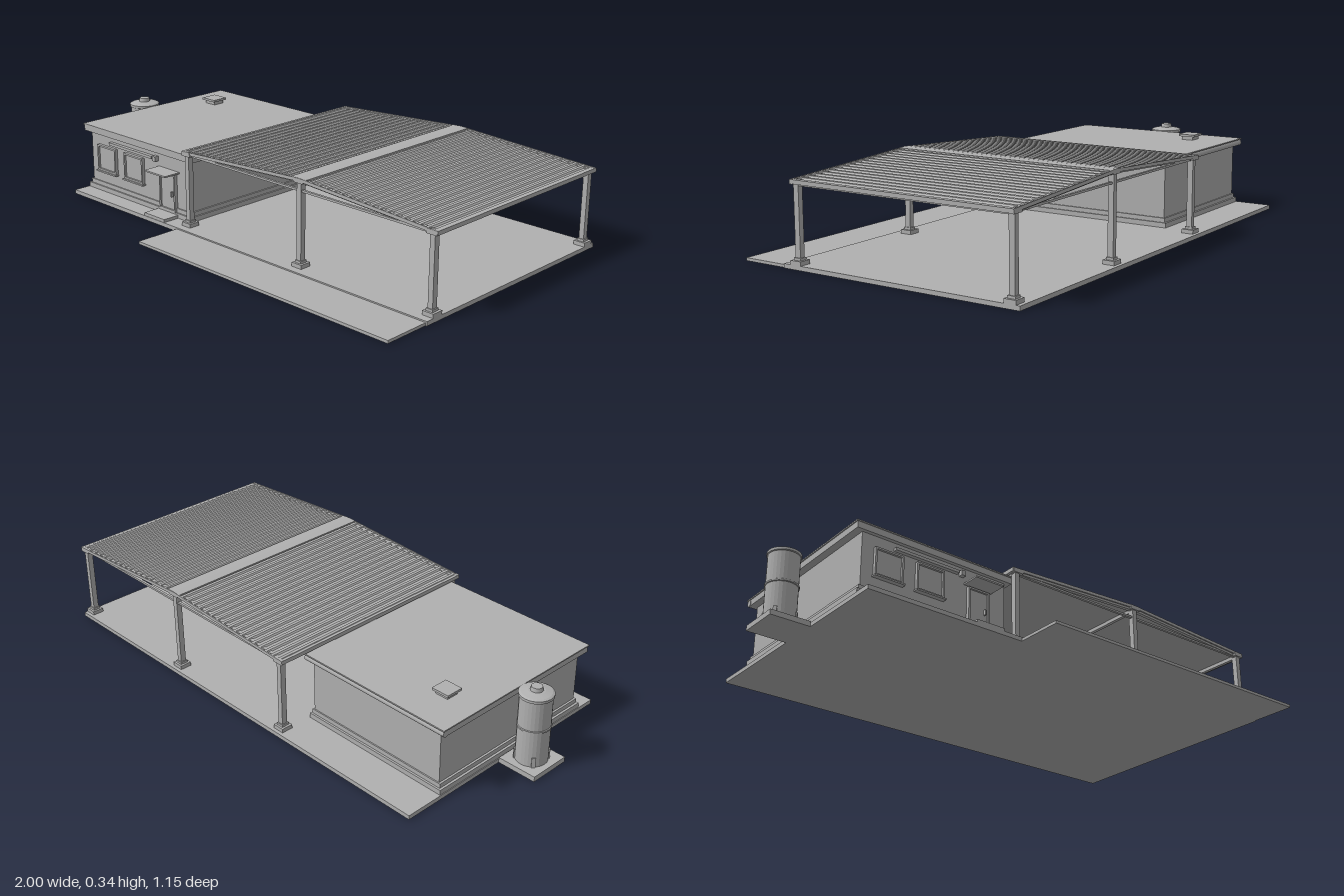
import * as THREE from 'three';

const concrete = new THREE.MeshStandardMaterial({ color: 0xb0b0b0 });
concrete.name = 'light grey';

export function createModel() {
  const root = new THREE.Group();
  root.name = 'stationWithCanopy';

  const add = (geo, name, parent = root) => {
    const m = new THREE.Mesh(geo, concrete);
    m.name = name;
    parent.add(m);
    return m;
  };
  // Box given by its limits on each axis
  const box = (name, x0, x1, y0, y1, z0, z1, parent) => {
    const m = add(new THREE.BoxGeometry(x1 - x0, y1 - y0, z1 - z0), name, parent);
    m.position.set((x0 + x1) / 2, (y0 + y1) / 2, (z0 + z1) / 2);
    return m;
  };
  const group = (name) => {
    const g = new THREE.Group();
    g.name = name;
    root.add(g);
    return g;
  };

  // Ground slabs
  box('mainSlab', -0.845, 0.995, 0, 0.016, -0.575, 0.39);
  box('frontApron', -0.21, 0.99, 0, 0.011, 0.39, 0.573);
  box('tankPad', -1, -0.845, 0, 0.02, -0.13, 0.035);

  // Building
  const house = group('building');
  box('walls', -0.825, -0.222, 0.016, 0.256, -0.412, 0.307, house);
  box('plinthFoot', -0.842, -0.21, 0.016, 0.035, -0.425, 0.318, house);
  box('plinth', -0.833, -0.216, 0.035, 0.052, -0.417, 0.312, house);
  box('roofSlab', -0.853, -0.2, 0.255, 0.279, -0.422, 0.322, house);
  box('roofSheet', -0.857, -0.198, 0.279, 0.284, -0.435, 0.325, house);
  const gutter = add(new THREE.CylinderGeometry(0.013, 0.013, 0.655, 12), 'rearGutter', house);
  gutter.rotation.z = Math.PI / 2;
  gutter.position.set(-0.527, 0.267, -0.423);

  // Roof vent
  box('ventNeck', -0.742, -0.688, 0.284, 0.298, -0.292, -0.243, house);
  box('ventCap', -0.752, -0.68, 0.298, 0.307, -0.302, -0.233, house);

  // Frame of four bars on the front wall
  const frame = (name, x0, x1, y0, y1, t, zFront) => {
    for (const x of [x0, x1 - t]) box(name, x, x + t, y0, y1, 0.307, zFront, house);
    for (const y of [y0, y1 - t]) box(name, x0 + t, x1 - t, y, y + t, 0.307, zFront, house);
  };
  for (const x of [-0.777, -0.608]) {
    frame('windowFrame', x, x + 0.115, 0.104, 0.21, 0.007, 0.32);
    box('windowPane', x + 0.007, x + 0.108, 0.111, 0.203, 0.307, 0.312, house);
    box('windowSill', x - 0.004, x + 0.119, 0.098, 0.104, 0.307, 0.326, house);
  }
  frame('doorFrame', -0.39, -0.298, 0.035, 0.186, 0.007, 0.321);
  box('door', -0.383, -0.305, 0.037, 0.179, 0.307, 0.314, house);
  box('doorHandle', -0.32, -0.315, 0.095, 0.115, 0.314, 0.324, house);
  box('doorAwning', -0.402, -0.283, 0.193, 0.199, 0.307, 0.38, house);
  box('doorStep', -0.402, -0.285, 0.016, 0.028, 0.318, 0.388, house);
  box('fasciaBoard', -0.697, -0.432, 0.223, 0.234, 0.307, 0.322, house);
  box('wallLamp', -0.424, -0.406, 0.218, 0.238, 0.307, 0.325, house);

  // Water tank
  const tank = group('waterTank');
  tank.position.set(-0.92, 0, -0.048);
  const profile = [
    [0, 0.02], [0.058, 0.02], [0.058, 0.155], [0.061, 0.157], [0.061, 0.163], [0.058, 0.165],
    [0.058, 0.275], [0.062, 0.277], [0.062, 0.287], [0.054, 0.291], [0.03, 0.296], [0, 0.297],
  ].map(([x, y]) => new THREE.Vector2(x, y));
  add(new THREE.LatheGeometry(profile, 28).toNonIndexed(), 'tankBody', tank).geometry.computeVertexNormals();
  add(new THREE.CylinderGeometry(0.02, 0.023, 0.016, 12), 'tankLid', tank).position.y = 0.303;
  for (let i = 0; i < 4; i++) {
    const a = Math.PI / 4 + (i * Math.PI) / 2;
    const foot = box('tankFoot', -0.007, 0.007, 0.02, 0.058, -0.004, 0.004, tank);
    foot.position.set(Math.sin(a) * 0.058, 0.039, Math.cos(a) * 0.058);
    foot.rotation.y = a;
  }

  // Canopy supports
  const canopy = group('canopy');
  const mid = 0.39, half = 0.605, eave = 0.303, ridge = 0.337;
  const roofY = (x) => ridge - ((ridge - eave) * Math.abs(x - mid)) / half;
  const columnX = [-0.192, mid, 0.972];
  const columnZ = [-0.538, 0.336];
  for (const x of columnX) {
    for (const z of columnZ) {
      box('column', x - 0.01, x + 0.01, 0.016, roofY(x) - 0.005, z - 0.011, z + 0.011, canopy);
      box('columnFoot', x - 0.023, x + 0.023, 0.016, 0.031, z - 0.023, z + 0.023, canopy);
      box('columnCollar', x - 0.014, x + 0.014, 0.031, 0.04, z - 0.015, z + 0.015, canopy);
      const s = Math.sign(z);
      box('columnCap', x - 0.022, x + 0.022, roofY(x) - 0.012, roofY(x) + 0.005,
        z + s * 0.011 - 0.006, z + s * 0.011 + 0.006, canopy);
    }
    box('crossBeam', x - 0.007, x + 0.007, roofY(x) - 0.018, roofY(x) - 0.004, -0.538, 0.336, canopy);
  }

  // Extrude an outline along z
  const extrude = (pts, z0, z1, name) => {
    const shape = new THREE.Shape(pts.map(([x, y]) => new THREE.Vector2(x, y)));
    const m = add(new THREE.ExtrudeGeometry(shape, { depth: z1 - z0, bevelEnabled: false }), name, canopy);
    m.position.z = z0;
  };
  // Gabled band between two heights relative to the roof line
  const gable = (lo, hi, w, z0, z1, name) => extrude([
    [mid - w, roofY(mid - w) + lo], [mid, ridge + lo], [mid + w, roofY(mid + w) + lo],
    [mid + w, roofY(mid + w) + hi], [mid, ridge + hi], [mid - w, roofY(mid - w) + hi],
  ], z0, z1, name);

  for (const z of columnZ) {
    gable(-0.012, 0.002, half - 0.01, z - 0.007, z + 0.007, 'rafter');
    box('tieBeam', -0.192, 0.972, 0.291, 0.299, z - 0.005, z + 0.005, canopy);
  }

  // Ribbed roof sheet: trapezoid ribs running front to back
  const ribs = 36, pitch = (2 * half) / ribs, top = [], under = [];
  for (let i = 0; i < ribs; i++) {
    const x0 = mid - half + i * pitch;
    for (const [f, h] of [[0, 0], [0.3, 0], [0.45, 0.005], [0.8, 0.005], [0.95, 0]]) {
      const x = x0 + f * pitch;
      top.push([x, roofY(x) + h]);
    }
  }
  top.push([mid + half, eave]);
  for (const x of [mid - half, mid, mid + half]) under.push([x, roofY(x) - 0.003]);
  extrude([...under, ...top.reverse()], -0.553, 0.35, 'ribbedRoof');
  gable(0, 0.0065, 0.035, -0.554, 0.351, 'ridgeCap');

  // Edge trims around the roof
  for (const z of [-0.555, 0.347]) gable(-0.006, 0.006, half, z, z + 0.005, 'gableTrim');
  for (const s of [-1, 1]) {
    const x = mid + s * (half - 0.005);
    box('eaveTrim', x - 0.006, x + 0.006, 0.294, 0.309, -0.555, 0.352, canopy);
  }

  return root;
}
